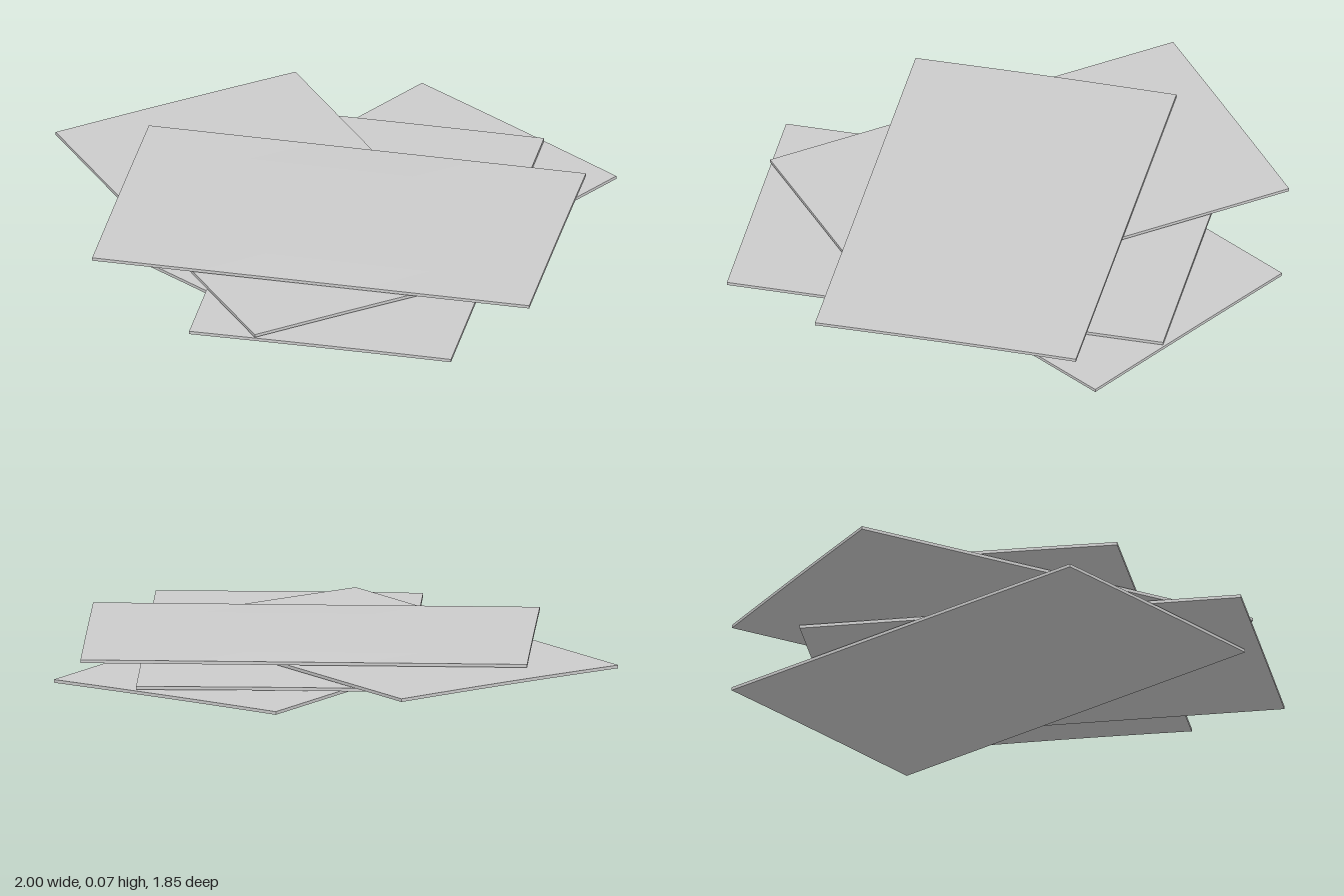
import * as THREE from 'three';

const LENGTH = 1.52, WIDTH = 0.91, THICK = 0.011;

// A thin rectangular sheet, gently bowed upward towards its middle
function sheetGeometry(bow) {
  const geo = new THREE.BoxGeometry(LENGTH, THICK, WIDTH, 8, 1, 6);
  const p = geo.attributes.position;
  for (let i = 0; i < p.count; i++) {
    const u = p.getX(i) / LENGTH, v = p.getZ(i) / WIDTH;
    const rise = bow * Math.cos(Math.PI * v) * (0.6 + 0.4 * Math.cos(Math.PI * u));
    p.setY(i, p.getY(i) + THICK / 2 + rise);
  }
  geo.computeVertexNormals();
  return geo;
}

export function createModel() {
  const group = new THREE.Group();
  group.name = 'sheetStack';
  const material = new THREE.MeshStandardMaterial({ color: 0xcccccc, flatShading: true });

  // Sheets from bottom to top: centre x, base y, centre z, turn, bow
  const sheets = [
    ['bottomSheet', 0.145, 0.004, -0.1, -1.742, 0.003],
    ['lowerSheet', 0.25, 0.02, 0.05, -1.193, 0.003],
    ['upperSheet', -0.11, 0.037, 0.07, -0.522, 0.004],
    ['topSheet', 0.133, 0.054, 0.043, 0.374, 0.005],
  ];
  for (const [name, x, y, z, turn, bow] of sheets) {
    const sheet = new THREE.Mesh(sheetGeometry(bow), material);
    sheet.name = name;
    sheet.position.set(x, y, z);
    sheet.rotation.y = turn;
    group.add(sheet);
  }
  // Rest the stack on the ground
  group.children.forEach((s) => { s.position.y -= 0.003; });
  return group;
}
